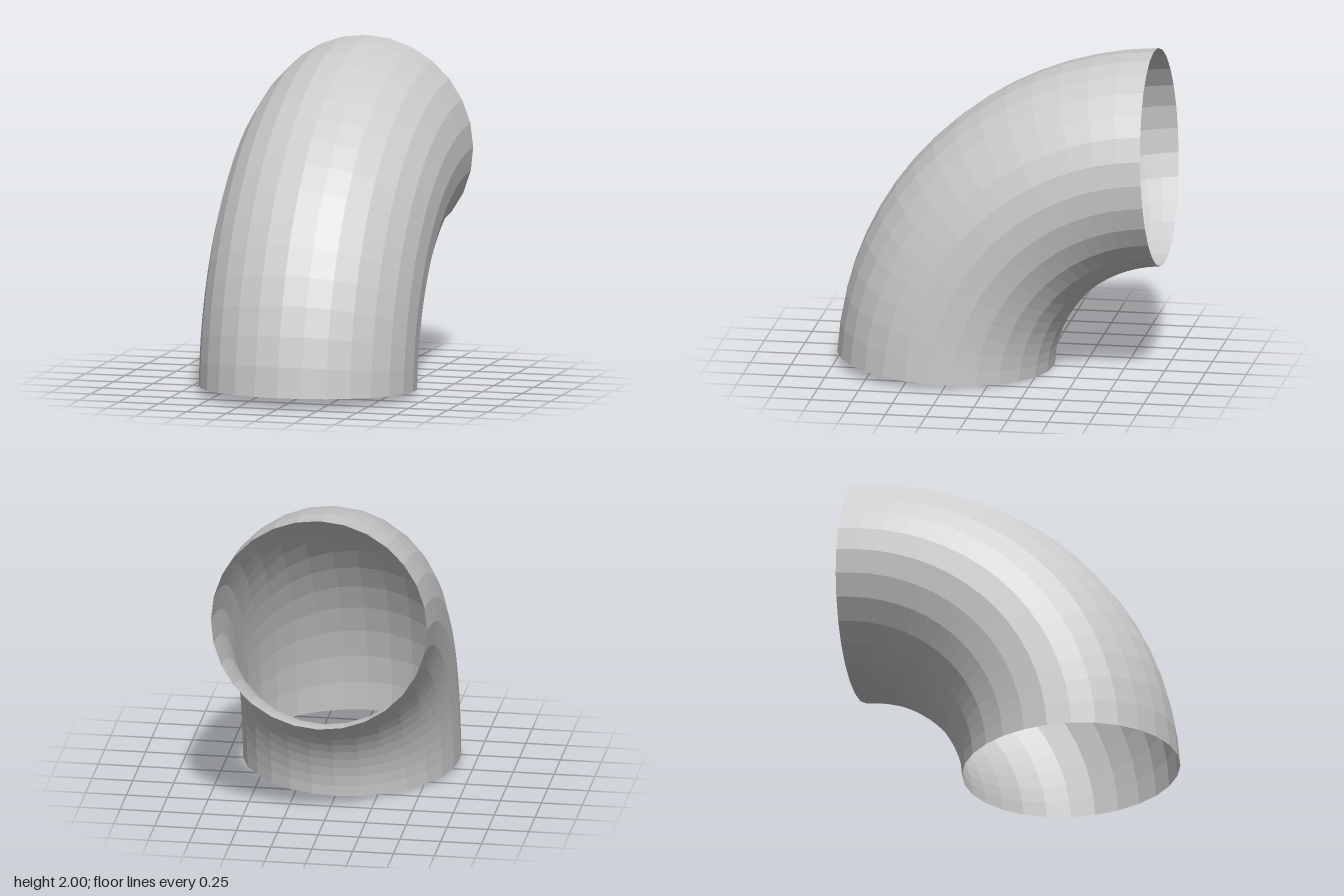
import * as THREE from 'three';

export function createModel() {
  const model = new THREE.Group();
  model.name = 'pipeElbow';

  const grey = new THREE.MeshStandardMaterial({ color: 0xcccccc, flatShading: true, side: THREE.DoubleSide });
  grey.name = 'grey';

  // Bend: open tube swept along an arc slightly short of a quarter turn
  const bendRadius = 1.378;
  const pipeRadius = 0.661;
  const trim = THREE.MathUtils.degToRad(2.9); // cut off at each end
  const geometry = new THREE.TorusGeometry(bendRadius, pipeRadius, 28, 16, Math.PI / 2 - 2 * trim);
  geometry.rotateZ(trim);
  geometry.rotateY(-Math.PI / 2); // bend lies in the y-z plane
  geometry.translate(0, 0.036, -1.036);

  // Rest the lowest point of the lower rim on the ground
  geometry.computeBoundingBox();
  geometry.translate(0, -geometry.boundingBox.min.y, 0);

  const elbow = new THREE.Mesh(geometry, grey);
  elbow.name = 'elbowTube';
  model.add(elbow);
  return model;
}
